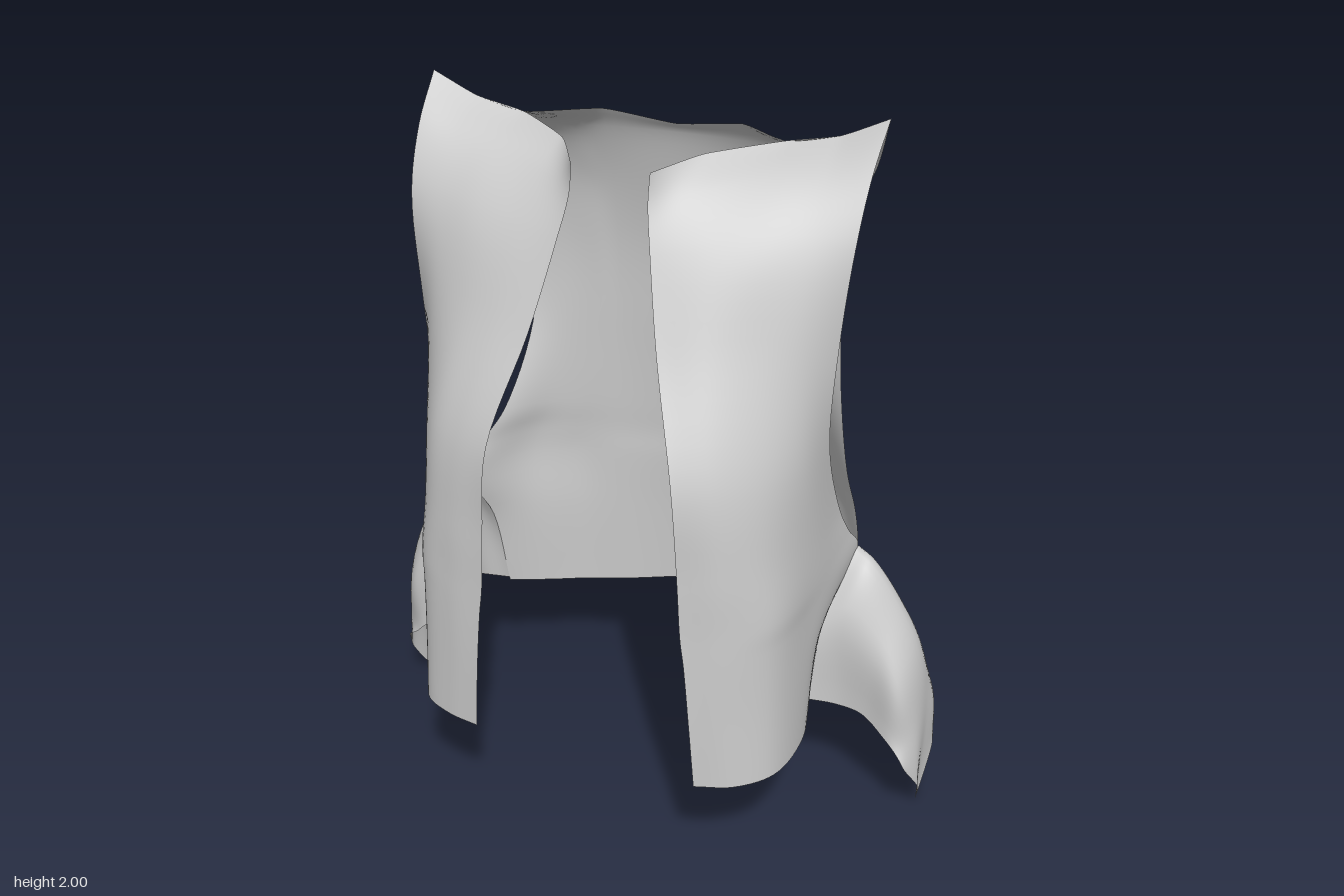
import * as THREE from 'three';

const cloth = new THREE.MeshStandardMaterial({ color: 0xcccccc, side: THREE.DoubleSide });

// Smooth sheet of cloth through rows of [x, y, z] points; one row keeps its corners crisp
function sheet(name, rows, nu, nv, crispRow) {
  const across = rows.map((r, i) => {
    const points = r.map(p => new THREE.Vector3(...p));
    const curve = i === crispRow
      ? new THREE.CatmullRomCurve3(points, false, 'catmullrom', .25)
      : new THREE.CatmullRomCurve3(points);
    return curve.getPoints(nu);
  });
  const pos = [], idx = [];
  for (let i = 0; i <= nu; i++) {
    const down = new THREE.CatmullRomCurve3(across.map(r => r[i])).getPoints(nv);
    down.forEach(p => pos.push(p.x, p.y, p.z));
  }
  for (let i = 0; i < nu; i++) {
    for (let j = 0; j < nv; j++) {
      const a = i * (nv + 1) + j, b = a + nv + 1;
      idx.push(a, a + 1, b, b, a + 1, b + 1);
    }
  }
  const geo = new THREE.BufferGeometry();
  geo.setAttribute('position', new THREE.Float32BufferAttribute(pos, 3));
  geo.setIndex(idx);
  geo.computeVertexNormals();
  const mesh = new THREE.Mesh(geo, cloth);
  mesh.name = name;
  return mesh;
}

// Front panel: from the open front edge out to the armhole and side
const frontRows = [
  [[.10, 1.90, .24], [.185, 1.91, .09], [.345, 1.92, -.04], [.48, 1.945, -.05], [.60, 2.0, -.05]],
  [[.10, 1.83, .255], [.22, 1.85, .17], [.36, 1.87, .10], [.48, 1.875, .08], [.59, 1.89, .07]],
  [[.12, 1.72, .295], [.25, 1.73, .26], [.37, 1.74, .22], [.48, 1.74, .18], [.58, 1.74, .15]],
  [[.17, 1.50, .385], [.28, 1.50, .36], [.38, 1.50, .31], [.48, 1.50, .25], [.56, 1.50, .17]],
  [[.25, 1.22, .505], [.35, 1.22, .46], [.44, 1.22, .38], [.51, 1.22, .27], [.545, 1.22, .15]],
  [[.27, .97, .51], [.38, .97, .475], [.47, .97, .39], [.53, .97, .22], [.555, .97, .035]],
  [[.28, .80, .51], [.39, .81, .475], [.49, .82, .39], [.54, .83, .19], [.57, .88, -.02]],
  [[.29, .72, .51], [.395, .73, .475], [.49, .74, .39], [.54, .75, .18], [.585, .80, -.08]],
  [[.305, .55, .51], [.40, .55, .475], [.495, .56, .39], [.535, .58, .20], [.53, .62, .04]],
  [[.32, .345, .505], [.42, .345, .47], [.505, .35, .39], [.535, .355, .22], [.505, .365, .06]],
];

// The right front hangs flatter than the left, increasingly below the chest
const flatter = [.04, .03, 0, 0, 0];
const rightFrontRows = frontRows.map(r => r.map(([x, y, z], i) =>
  [x, y, z - flatter[i] * THREE.MathUtils.clamp((1.75 - y) * 2, 0, 1)]));

// Side tie: an arched fold that springs from the side opening and narrows to a point
const tieRows = [
  [[.505, .365, .06], [.53, .62, .04], [.585, .80, -.08], [.55, .62, -.17], [.53, .37, -.22]],
  [[.58, .345, .03], [.59, .64, .035], [.635, .775, -.06], [.61, .64, -.16], [.60, .37, -.19]],
  [[.65, .33, .03], [.685, .56, .035], [.71, .67, -.06], [.70, .54, -.16], [.66, .35, -.19]],
  [[.72, .28, .05], [.755, .45, .045], [.78, .52, -.07], [.76, .44, -.17], [.72, .31, -.21]],
  [[.76, .24, .06], [.80, .29, .01], [.81, .31, -.08], [.81, .32, -.17], [.76, .29, -.24]],
  [[.79, .20, .07], [.82, .10, .00], [.805, .00, -.07], [.825, .14, -.16], [.79, .28, -.25]],
];

// Back panel: each row gives height, right edge [x, z], left edge [x, z], then depths across
const backRows = [
  [[-.60, 2.0, -.05], [-.48, 1.945, -.05], [-.345, 1.92, -.04], [-.19, 1.9, -.195], [0, 1.87, -.23],
    [.19, 1.9, -.195], [.345, 1.92, -.04], [.48, 1.945, -.05], [.60, 2.0, -.05]],
  ...[
    [1.84, [.55, -.18], [.55, -.17], [-.20, -.205, -.235, -.25, -.235, -.21, -.19]],
    [1.70, [.47, -.27], [.49, -.255], [-.275, -.28, -.285, -.29, -.30, -.29, -.27]],
    [1.50, [.44, -.30], [.46, -.265], [-.305, -.31, -.32, -.33, -.355, -.34, -.29]],
    [1.22, [.45, -.28], [.47, -.245], [-.30, -.32, -.335, -.355, -.405, -.37, -.29]],
    [.97, [.51, -.19], [.52, -.175], [-.28, -.32, -.345, -.38, -.44, -.40, -.30]],
    [.88, [.56, -.13], [.56, -.13], [-.27, -.32, -.35, -.39, -.455, -.41, -.285]],
    [.80, [.585, -.08], [.585, -.08], [-.26, -.32, -.35, -.395, -.465, -.42, -.28]],
    [.62, [.55, -.17], [.55, -.17], [-.27, -.32, -.355, -.415, -.485, -.43, -.28]],
    [.36, [.53, -.22], [.53, -.22], [-.29, -.33, -.365, -.44, -.515, -.43, -.30]],
  ].map(([y, [rx, rz], [lx, lz], depths]) => {
    const xs = [-.8 * rx, -.6 * rx, -.2, 0, .25, .25 + .4 * (lx - .25), .25 + .7 * (lx - .25)];
    const hem = x => (y < .4 ? x * .04 : 0);
    return [[-rx, y, rz], ...xs.map((x, i) => [x, y + hem(x), depths[i]]), [lx, y + hem(lx), lz]];
  }),
];

export function createModel() {
  const vest = new THREE.Group();
  vest.name = 'vest';
  vest.add(sheet('backPanel', backRows, 56, 54, 0));
  for (const s of [1, -1]) {
    const side = s > 0 ? 'left' : 'right';
    const mirror = rows => rows.map(r => r.map(([x, y, z]) => [s * x, y, z]));
    vest.add(sheet(side + 'FrontPanel', mirror(s > 0 ? frontRows : rightFrontRows), 28, 54, 0));

    // The right tie hangs further back than the left
    const drift = s > 0 ? 0 : -.1;
    const tie = tieRows.map((r, i) => r.map(([x, y, z]) => [x, y + (s < 0 && i === 5 ? .02 : 0), z + drift * i / 5]));
    vest.add(sheet(side + 'Tie', mirror(tie), 28, 30, 5));
  }
  return vest;
}
